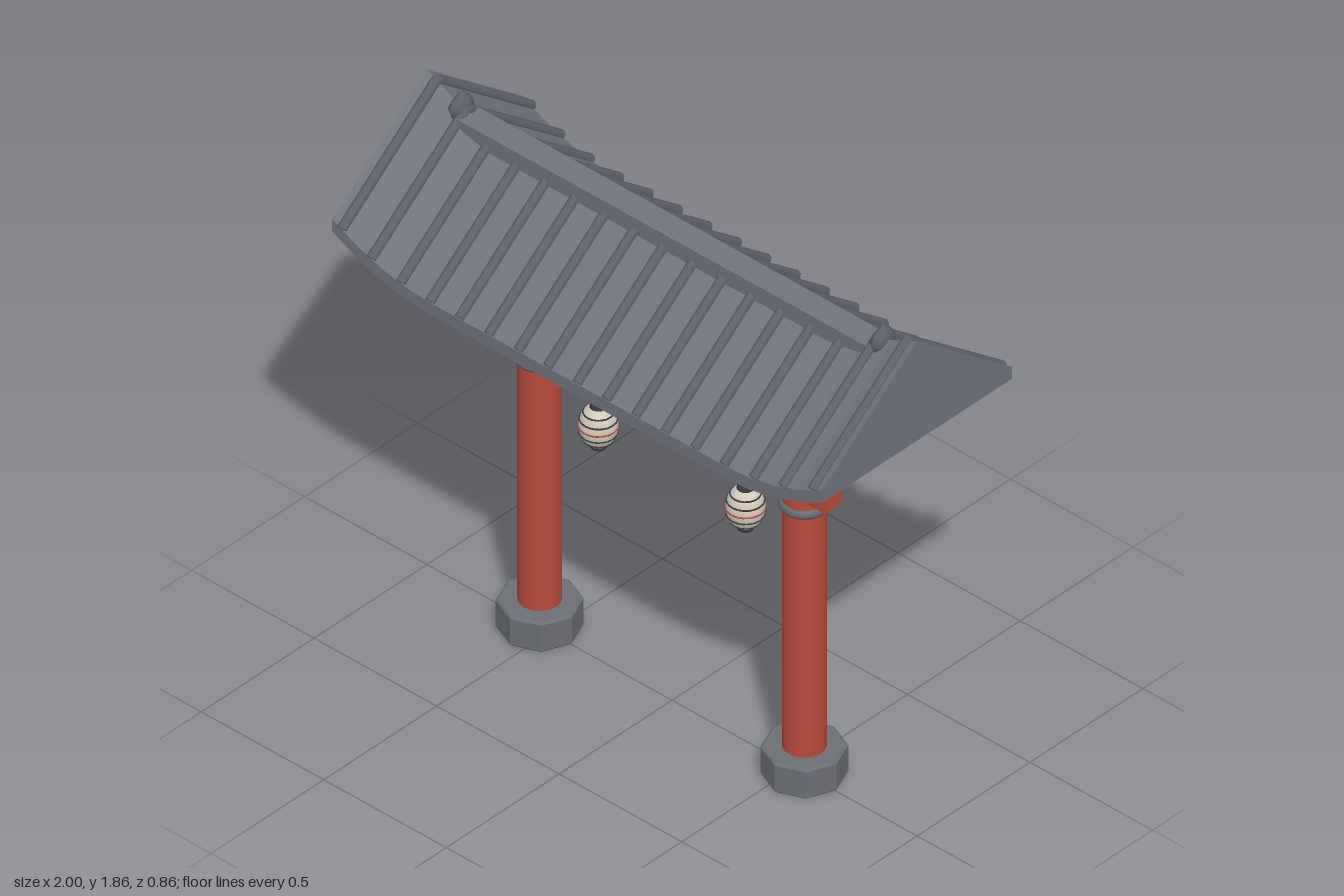
import * as THREE from 'three';

const mat = (name, color, opts = {}) => {
  const m = new THREE.MeshStandardMaterial({ color, ...opts });
  m.name = name;
  return m;
};

export function createModel() {
  const red = mat('red lacquer', 0xb94b3b);
  const tile = mat('roof tile', 0x70747c);
  const rib = mat('rib tile', 0x5f636b);
  const stone = mat('stone', 0x6b6e74);
  const metal = mat('metal band', 0x646c75);
  const dark = mat('dark metal', 0x3a3c40);
  const paper = mat('lantern paper', 0xd3cbbb);
  const panel = mat('plaque panel', 0xc8c6bd);

  const model = new THREE.Group();
  model.name = 'gate';
  const add = (name, geo, material, x = 0, y = 0, z = 0, parent = model) => {
    const m = new THREE.Mesh(geo, material);
    m.name = name;
    m.position.set(x, y, z);
    parent.add(m);
    return m;
  };
  const box = (w, h, d) => new THREE.BoxGeometry(w, h, d);
  const cyl = (rt, rb, h, n = 20) => new THREE.CylinderGeometry(rt, rb, h, n);
  const lathe = (pts, n) => new THREE.LatheGeometry(pts.map(p => new THREE.Vector2(...p)), n);
  const faceted = geo => {
    const g = geo.toNonIndexed();
    g.computeVertexNormals();
    return g;
  };

  // Upward sweep of the roof towards its ends
  const lift = x => 0.11 * Math.max(0, (Math.abs(x) - 0.6) / 0.4) ** 2;

  // Roof: a gabled cross-section swept along x
  const section = [[0.42, 1.375], [0.42, 1.42], [0, 1.75], [-0.42, 1.42], [-0.42, 1.375]];
  const xs = [-1, -0.9, -0.8, -0.7, -0.6, 0.6, 0.7, 0.8, 0.9, 1];
  const n = section.length, pos = [], idx = [];
  for (const x of xs) for (const [z, y] of section) pos.push(x, y + lift(x), z);
  for (let i = 0; i < xs.length - 1; i++) {
    for (let j = 0; j < n; j++) {
      const a = i * n + j, b = i * n + (j + 1) % n;
      idx.push(a, a + n, b, b, a + n, b + n);
    }
  }
  const last = (xs.length - 1) * n;
  for (let j = 1; j < n - 1; j++) {
    idx.push(0, j, j + 1, last, last + j + 1, last + j);
  }
  const roofGeo = new THREE.BufferGeometry();
  roofGeo.setAttribute('position', new THREE.Float32BufferAttribute(pos, 3));
  roofGeo.setIndex(idx);
  add('roof', faceted(roofGeo), tile);

  // Round rib tiles running down both slopes
  const slope = Math.atan2(0.33, 0.42);
  const ribGeo = cyl(0.017, 0.017, 0.535, 8);
  for (let i = -8; i <= 8; i++) {
    for (const s of [1, -1]) {
      const x = i * 0.12;
      const m = add('roofRib', ribGeo, rib, x, 1.59 + lift(x), s * 0.21);
      m.rotation.x = -s * (Math.PI / 2 - slope);
    }
  }

  // Ridge beam and pointed end ornaments
  add('ridgeBeam', box(1.68, 0.06, 0.09), tile, 0, 1.75, 0);
  const finialGeo = lathe([[0, -0.045], [0.022, -0.035], [0.03, 0], [0.022, 0.025], [0, 0.06]], 8);
  for (const s of [1, -1]) {
    add('ridgeOrnament', finialGeo, rib, s * 0.86, 1.795, 0).scale.z = 1.7;
  }

  // Upswept top beam
  const beam = new THREE.Shape();
  const under = [[-0.84, 1.35], [-0.76, 1.31], [-0.68, 1.283], [-0.58, 1.27]];
  const lower = [...under, ...under.map(([x, y]) => [-x, y]).reverse()];
  const upper = lower.map(([x]) => [x, Math.max(1.39, 1.385 + lift(x))]).reverse();
  beam.setFromPoints([...lower, ...upper].map(p => new THREE.Vector2(...p)));
  const beamGeo = new THREE.ExtrudeGeometry(beam, { depth: 0.128, bevelEnabled: false });
  add('topBeam', beamGeo, red, 0, 0, -0.064);

  // Tie beam with slightly larger end blocks
  add('tieBeam', box(1.3, 0.088, 0.068), red, 0, 1.104, 0);

  const baseGeo = faceted(lathe([[0, 0], [0.125, 0], [0.132, 0.007], [0.132, 0.103], [0.125, 0.11], [0, 0.11]], 8));
  const bandGeo = new THREE.TorusGeometry(0.062, 0.018, 8, 24);
  bandGeo.rotateX(Math.PI / 2);
  for (const s of [1, -1]) {
    add('tieBeamEnd', box(0.065, 0.096, 0.076), red, s * 0.627, 1.104, 0);
    add('pillarBase', baseGeo, stone, s * 0.54, 0, 0);
    add('pillar', cyl(0.068, 0.068, 1.33), red, s * 0.54, 0.675, 0);
    add('pillarBand', bandGeo, metal, s * 0.54, 1.022, 0);
  }

  // Plaque hung at the front between the beams
  add('plaqueFrame', box(0.24, 0.195, 0.024), metal, 0, 1.228, 0.064);
  add('plaquePanel', box(0.216, 0.172, 0.006), panel, 0, 1.228, 0.076);

  // Hanging paper lanterns
  const bodyGeo = new THREE.SphereGeometry(0.061, 16, 12);
  bodyGeo.scale(1, 1.28, 1);
  for (const s of [1, -1]) {
    const lantern = new THREE.Group();
    lantern.name = 'lantern';
    lantern.position.set(s * 0.3, 0.882, 0);
    model.add(lantern);
    add('lanternBody', bodyGeo, paper, 0, 0, 0, lantern);
    add('lanternCord', cyl(0.003, 0.003, 0.11, 6), dark, 0, 0.13, 0, lantern);
    add('lanternCap', cyl(0.024, 0.028, 0.016, 12), dark, 0, 0.075, 0, lantern);
    add('lanternFoot', cyl(0.028, 0.024, 0.016, 12), dark, 0, -0.075, 0, lantern);
    for (const y of [-0.05, -0.025, 0, 0.025, 0.05]) {
      const r = 0.061 * Math.sqrt(1 - (y / 0.078) ** 2);
      const hoop = new THREE.TorusGeometry(r, 0.0028, 6, 20);
      hoop.rotateX(Math.PI / 2);
      add('lanternHoop', hoop, y === 0 ? red : dark, 0, y, 0, lantern);
    }
  }
  return model;
}
